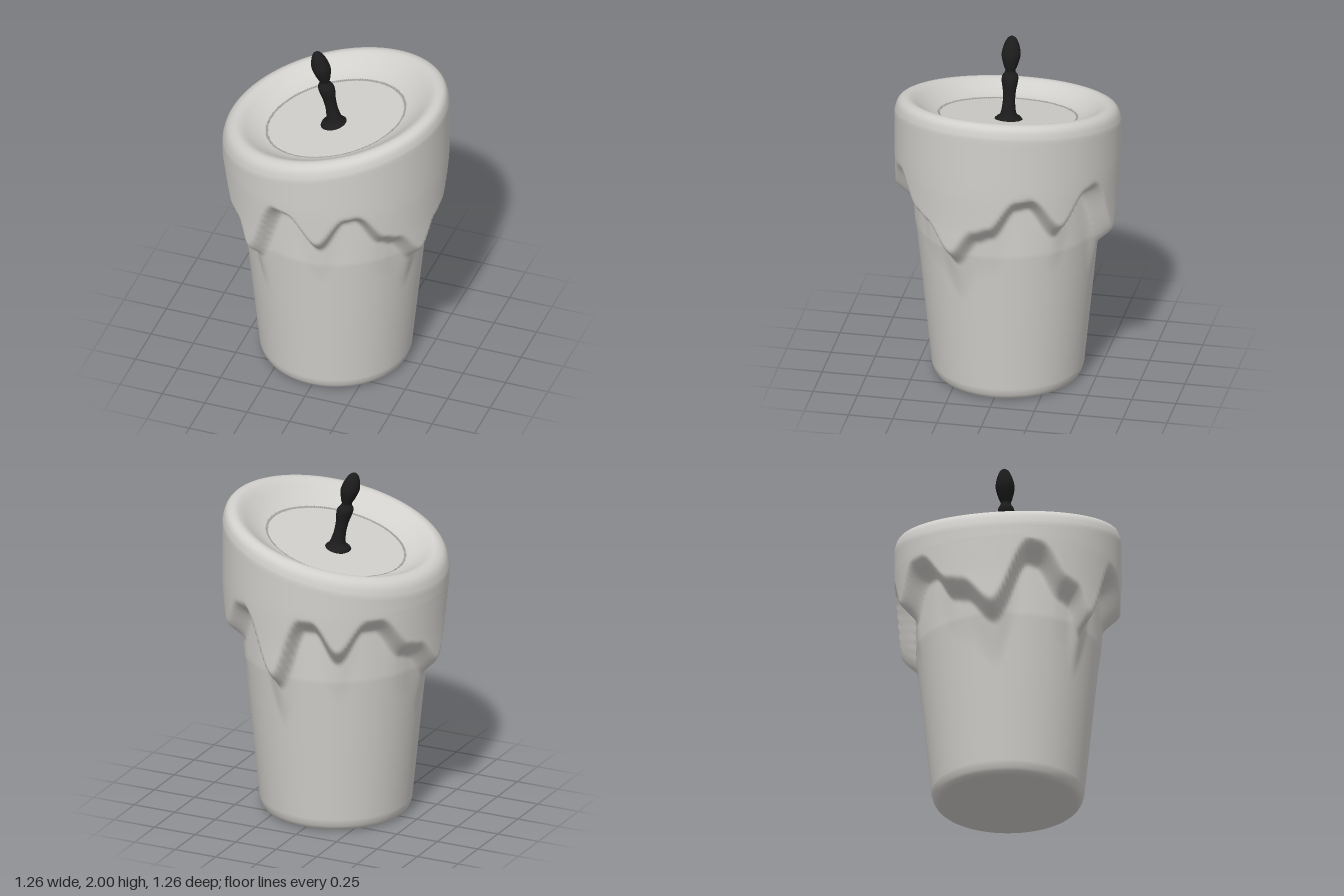
import * as THREE from 'three';
import { mergeVertices } from 'three/addons/utils/BufferGeometryUtils.js';

const { smoothstep, clamp } = THREE.MathUtils;

// Lower edge of the melted wax: [angle in degrees from the front, height]
const dripLine = [
  [-88, 0.93], [-68, 1.29], [-62, 1.28], [-47, 1.1], [-41, 1.08], [-32, 0.93], [-14, 1.29], [-7, 1.28],
  [10, 1.1], [25, 1.28], [31, 1.29], [47, 1.12], [54, 1.09], [70, 0.93], [83, 1.08], [91, 1.11],
  [106, 1.28], [113, 1.29], [130, 1.1], [146, 1.28], [152, 1.29], [171, 0.93], [187, 1.28], [193, 1.28],
  [207, 1.1], [223, 1.28], [230, 1.28], [248, 1.1], [255, 1.08], [272, 0.93],
];

function dripEdge(deg) {
  if (deg < -88) deg += 360;
  if (deg > 272) deg -= 360;
  let i = 0;
  while (i < dripLine.length - 2 && deg > dripLine[i + 1][0]) i++;
  const [a0, y0] = dripLine[i], [a1, y1] = dripLine[i + 1];
  return y0 + (y1 - y0) * smoothstep(deg, a0, a1);
}

// Radius of the wax wall at a height and angle
function wallRadius(y, deg) {
  const edge = dripEdge(deg);
  const core = Math.min(0.417 + 0.1 * y, 0.51);
  const depth = clamp((1.29 - edge) / 0.36, 0, 1);
  const tail = 0.025 * depth * smoothstep(y, edge - 0.32, edge);
  const outer = 0.622 + 0.007 * smoothstep(y, 1.1, 1.4);
  const inner = core + tail;
  return inner + (outer - inner) * smoothstep(y, edge - 0.07, edge + 0.06);
}

// Revolve a profile, reshape it by a rule, and weld it for smooth shading
function shapedLathe(points, segments, rule) {
  let geo = new THREE.LatheGeometry(points, segments);
  const pos = geo.attributes.position;
  const v = new THREE.Vector3();
  for (let i = 0; i < pos.count; i++) {
    rule(v.fromBufferAttribute(pos, i));
    pos.setXYZ(i, v.x, v.y, v.z);
  }
  geo.deleteAttribute('uv');
  geo.deleteAttribute('normal');
  geo = mergeVertices(geo, 1e-5);
  geo.computeVertexNormals();
  return geo;
}

const vec = ([x, y]) => new THREE.Vector2(x, y);

export function createModel() {
  const group = new THREE.Group();
  const wax = new THREE.MeshStandardMaterial({ color: 0xd2d0cc });
  wax.name = 'wax';
  const char = new THREE.MeshStandardMaterial({ color: 0x1c1c1c });
  char.name = 'charredWick';

  // Candle: rounded foot, dripping wall, slanted rim and hollow top
  const foot = [[0, 0], [0.33, 0], [0.375, 0.001], [0.392, 0.006], [0.406, 0.018], [0.415, 0.035]];
  const wall = [];
  const wallStart = 0.06, wallEnd = 1.56, rows = 100;
  for (let i = 0; i <= rows; i++) wall.push([0.5, wallStart + (wallEnd - wallStart) * i / rows]);
  const rim = new THREE.SplineCurve([
    [0.628, 1.575], [0.616, 1.618], [0.595, 1.645], [0.56, 1.656], [0.525, 1.644], [0.47, 1.607],
    [0.41, 1.576], [0.33, 1.556], [0.2, 1.543], [0.0, 1.538],
  ].map(vec)).getPoints(36);
  rim[rim.length - 1].x = 0;
  const profile = [...foot.map(vec), ...wall.map(vec), ...rim];

  const candleGeo = shapedLathe(profile, 220, (p) => {
    if (p.y > wallStart - 0.001 && p.y < wallEnd + 0.001) {
      const angle = Math.atan2(p.x, p.z);
      const r = wallRadius(p.y, angle * 180 / Math.PI);
      p.x = r * Math.sin(angle);
      p.z = r * Math.cos(angle);
    }
    p.y += 0.229 * p.x * clamp((p.y - 1.34) / 0.22, 0, 1);
  });
  const candle = new THREE.Mesh(candleGeo, wax);
  candle.name = 'candleBody';
  group.add(candle);

  // Wick: flared base, knotted stem and pointed bud, leaning to one side
  const wickProfile = new THREE.SplineCurve([
    [0.085, 1.525], [0.075, 1.54], [0.047, 1.565], [0.037, 1.61], [0.034, 1.65], [0.037, 1.7], [0.045, 1.745],
    [0.045, 1.775], [0.033, 1.795], [0.028, 1.81], [0.038, 1.835], [0.051, 1.88], [0.052, 1.91],
    [0.042, 1.95], [0.024, 1.985], [0, 2.0],
  ].map(vec)).getPoints(60);
  wickProfile[wickProfile.length - 1].x = 0;
  const wickGeo = shapedLathe(wickProfile, 32, (p) => {
    p.x -= 0.24 * Math.max(p.y - 1.53, 0);
  });
  const wick = new THREE.Mesh(wickGeo, char);
  wick.name = 'wick';
  group.add(wick);

  return group;
}
